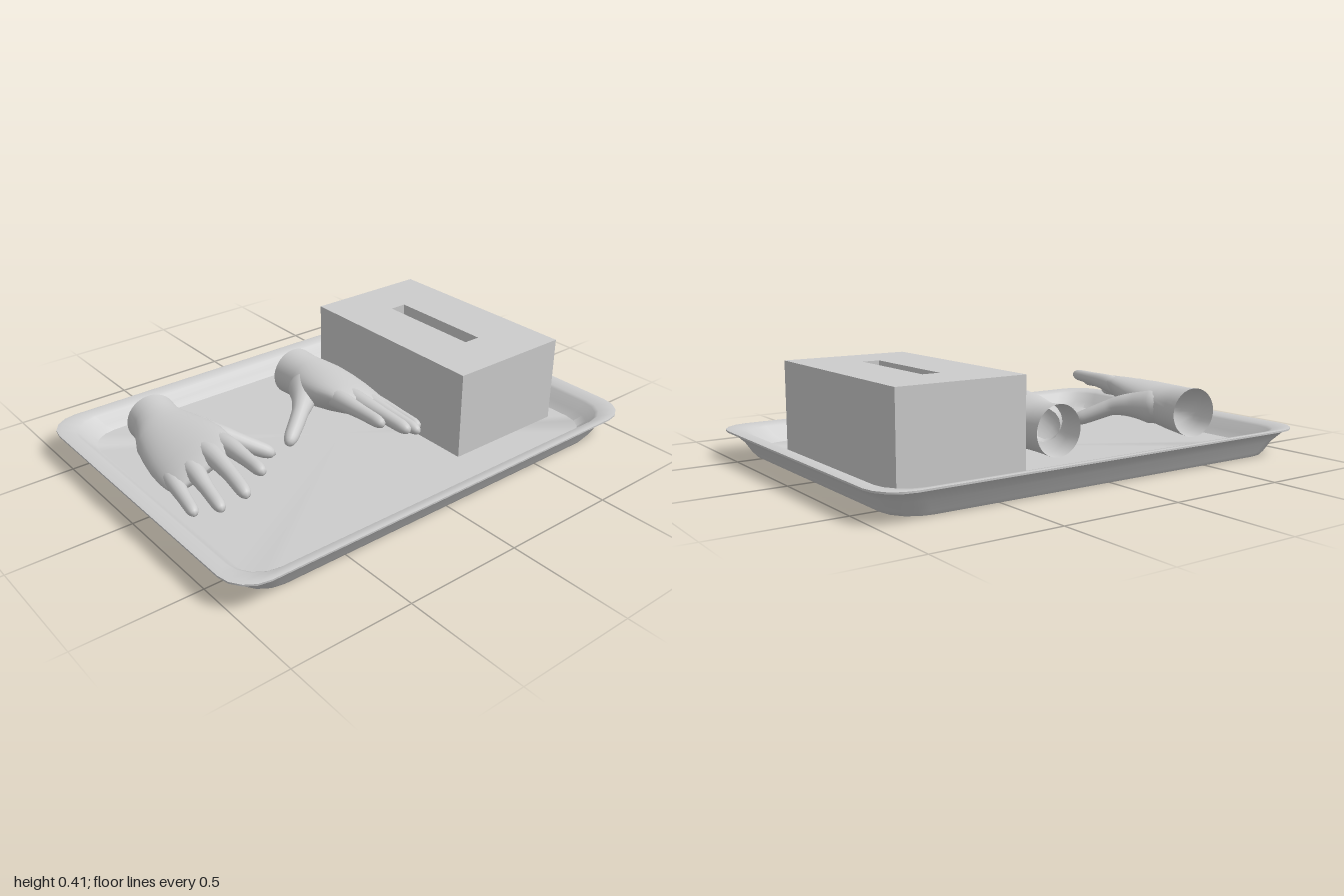
import * as THREE from 'three';
import { mergeVertices, toCreasedNormals } from 'three/addons/utils/BufferGeometryUtils.js';

const grey = new THREE.MeshStandardMaterial({ color: 0xcccccc, side: THREE.DoubleSide });
grey.name = 'pale grey';

function part(name, geometry) {
  const mesh = new THREE.Mesh(geometry, grey);
  mesh.name = name;
  return mesh;
}

// Skin over a list of closed rings, each a list of [x, y, z]
function loft(rings) {
  const n = rings[0].length, index = [];
  for (let i = 0; i < rings.length - 1; i++) {
    for (let j = 0; j < n; j++) {
      const a = i * n + j, b = i * n + (j + 1) % n;
      index.push(a, a + n, b, b, a + n, b + n);
    }
  }
  const g = new THREE.BufferGeometry();
  g.setAttribute('position', new THREE.Float32BufferAttribute(rings.flat(2), 3));
  g.setIndex(index);
  g.computeVertexNormals();
  return g;
}

// Rounded rectangle ring, inset from the tray's outer edge
function trayRing([inset, y]) {
  const r = 0.13, w = 1 - inset - r, d = 0.725 - inset * 0.72 - r, ring = [];
  for (let c = 0; c < 4; c++) {
    for (let k = 0; k <= 4; k++) {
      const a = (c + k / 4) * Math.PI / 2;
      const sx = c === 0 || c === 3 ? 1 : -1, sz = c < 2 ? 1 : -1;
      ring.push([sx * w + r * Math.cos(a), y, sz * d + r * Math.sin(a)]);
    }
  }
  return ring;
}

function buildTray() {
  const profile = [
    [0.115, 0], [0.1, 0.003], [0.085, 0.02], [0.06, 0.062], [0.025, 0.097], [0, 0.106],
    [0, 0.113], [0.015, 0.115], [0.06, 0.108], [0.072, 0.1], [0.1, 0.06], [0.13, 0.035],
  ];
  const rings = profile.map(trayRing);
  const centre = (y) => rings[0].map(() => [0, y, 0]);
  return part('tray', toCreasedNormals(loft([centre(0), ...rings, centre(0.035)]), 0.6));
}

// Carton with a long slot in its top
function buildBox() {
  const rect = (Type, x0, x1, z) => new Type([[x0, -z], [x1, -z], [x1, z], [x0, z]]
    .map(([x, y]) => new THREE.Vector2(x, y)));
  const shape = rect(THREE.Shape, 0.25, 0.8, 0.457);
  shape.holes.push(rect(THREE.Path, 0.485, 0.56, 0.235));
  const g = new THREE.ExtrudeGeometry(shape, { depth: 0.37, bevelEnabled: false });
  g.rotateX(-Math.PI / 2).translate(0, 0.035, 0);
  return part('box', g);
}

// Tapered, round-tipped tube through points [x, y, z, radius]
function digit(points, side) {
  const curve = new THREE.CatmullRomCurve3(points.map(([x, y, z]) => new THREE.Vector3(x * side, y, z)));
  const steps = 36, sides = 16;
  let g = new THREE.TubeGeometry(curve, steps, 1, sides);
  const pos = g.attributes.position, nor = g.attributes.normal;
  const p = new THREE.Vector3(), n = new THREE.Vector3();
  for (let i = 0; i < pos.count; i++) {
    const t = Math.floor(i / (sides + 1)) / steps;
    const f = t * (points.length - 1), k = Math.min(Math.floor(f), points.length - 2);
    const tip = Math.max(0, (t - 0.88) / 0.12);
    const r = THREE.MathUtils.lerp(points[k][3], points[k + 1][3], f - k) * Math.sqrt(1 - tip * tip);
    curve.getPointAt(t, p);
    n.fromBufferAttribute(nor, i);
    p.addScaledVector(n, r);
    pos.setXYZ(i, p.x, p.y, p.z);
  }
  g.deleteAttribute('uv');
  g.deleteAttribute('normal');
  g = mergeVertices(g, 1e-5);
  g.computeVertexNormals();
  return g;
}

// Palm-down hand, wrist centred on the origin, open at the cuff; side mirrors it
function buildHand(name, side) {
  const hand = new THREE.Group();
  hand.name = name;

  // z, centre x, centre y, half width, half height, tilt
  const sections = [
    [0, 0, 0.163, 0.107, 0.105, 0], [0.07, 0.002, 0.163, 0.106, 0.1, -0.03],
    [0.13, 0.004, 0.166, 0.122, 0.097, -0.1], [0.19, 0.005, 0.17, 0.143, 0.093, -0.18],
    [0.27, 0.004, 0.176, 0.156, 0.087, -0.28], [0.35, 0.005, 0.18, 0.163, 0.078, -0.36],
    [0.42, 0.007, 0.184, 0.162, 0.066, -0.42], [0.47, 0.008, 0.187, 0.157, 0.053, -0.44],
    [0.51, 0.009, 0.19, 0.147, 0.037, -0.45], [0.53, 0.009, 0.19, 0.13, 0.02, -0.45],
    [0.535, 0.009, 0.19, 0, 0, -0.45],
  ];
  const palm = sections.map(([z, cx, cy, w, h, tilt]) => Array.from({ length: 36 }, (_, j) => {
    const a = -j / 36 * Math.PI * 2, t = tilt * side;
    const u = w * Math.cos(a), v = h * Math.sin(a);
    return [cx * side + u * Math.cos(t) - v * Math.sin(t), cy + u * Math.sin(t) + v * Math.cos(t), z];
  }));
  hand.add(part('palm', loft(palm)));

  const digits = {
    indexFinger: [[-0.08, 0.21, 0.34, 0.045], [-0.105, 0.237, 0.48, 0.039],
      [-0.113, 0.246, 0.62, 0.029], [-0.118, 0.25, 0.755, 0.024]],
    middleFinger: [[-0.02, 0.205, 0.34, 0.045], [-0.035, 0.222, 0.48, 0.041],
      [-0.033, 0.222, 0.64, 0.03], [-0.024, 0.21, 0.805, 0.026]],
    ringFinger: [[0.045, 0.175, 0.34, 0.045], [0.042, 0.182, 0.48, 0.04],
      [0.052, 0.175, 0.62, 0.028], [0.061, 0.163, 0.772, 0.024]],
    littleFinger: [[0.095, 0.145, 0.34, 0.045], [0.113, 0.142, 0.46, 0.036],
      [0.124, 0.136, 0.57, 0.027], [0.134, 0.128, 0.695, 0.022]],
    thumb: [[-0.02, 0.165, 0.13, 0.07], [-0.115, 0.172, 0.235, 0.077], [-0.19, 0.162, 0.31, 0.052],
      [-0.255, 0.132, 0.36, 0.036], [-0.305, 0.108, 0.395, 0.033], [-0.345, 0.09, 0.425, 0.028]],
  };
  for (const [digitName, points] of Object.entries(digits)) {
    hand.add(part(digitName, digit(points, side)));
  }
  return hand;
}

export function createModel() {
  const model = new THREE.Group();
  model.name = 'trayWithGlovesAndBox';
  const leftGlove = buildHand('leftGlove', 1);
  leftGlove.position.set(0.05, 0, -0.4);
  const rightGlove = buildHand('rightGlove', -1);
  rightGlove.position.set(-0.67, 0, -0.41);
  rightGlove.rotation.y = -0.11;
  model.add(buildTray(), buildBox(), leftGlove, rightGlove);
  return model;
}
